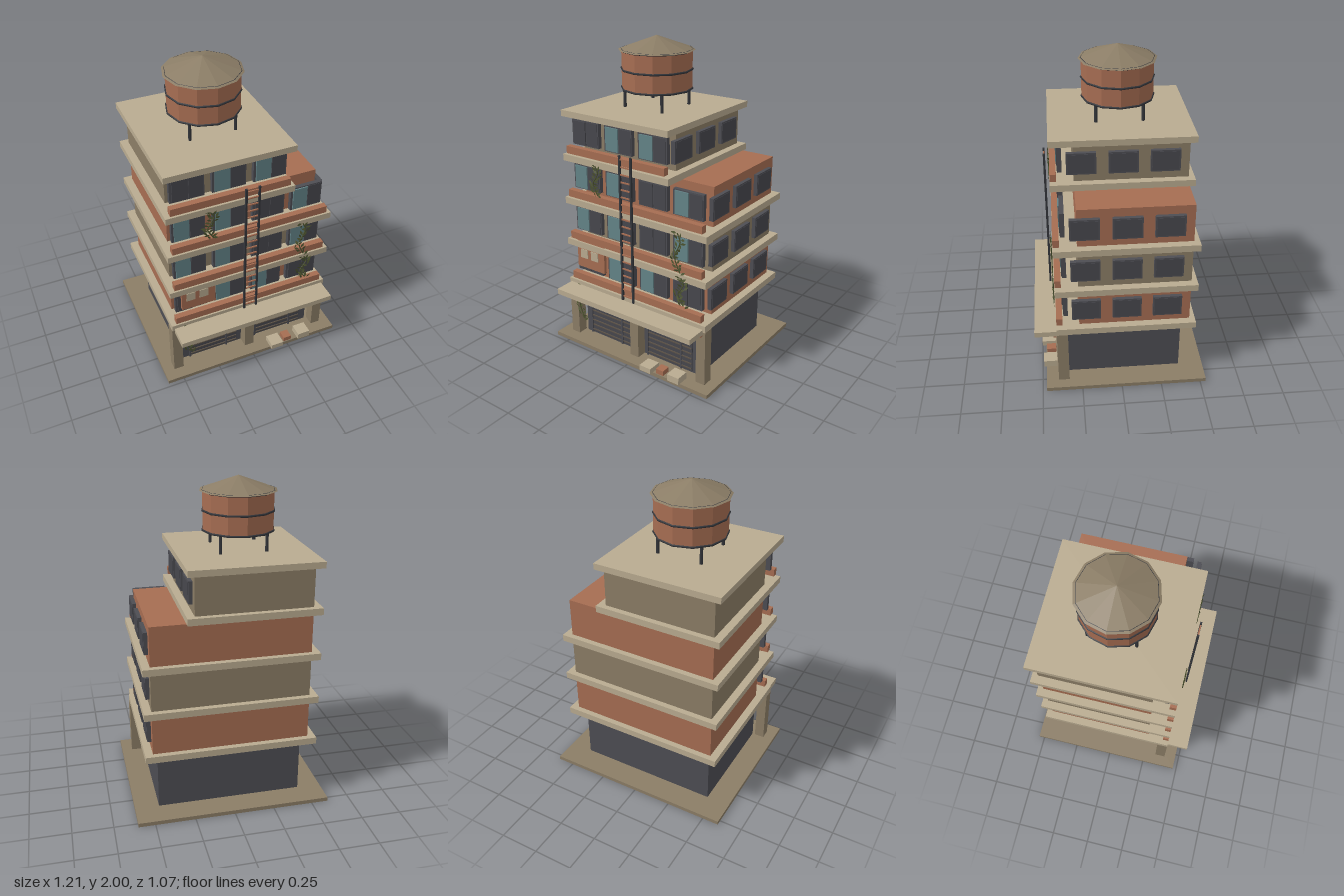
import * as THREE from 'three';

const mat = (name, color, side = THREE.FrontSide) => {
  const m = new THREE.MeshStandardMaterial({ color, side });
  m.name = name;
  return m;
};

export function createModel() {
  const model = new THREE.Group();
  model.name = 'apartmentBuilding';
  const concrete = mat('paleConcrete', 0xb9ab90);
  const stone = mat('darkStone', 0x8b7d66);
  const brick = mat('brick', 0xa66d52);
  const slate = mat('slate', 0x4d4d53);
  const pane = mat('darkPane', 0x47474d);
  const glass = mat('tealGlass', 0x648488);
  const iron = mat('iron', 0x34363b);
  const slat = mat('shutterSlat', 0x5d5348);
  const leaf = mat('leaf', 0x4d5430, THREE.DoubleSide);

  const add = (name, geo, material, parent = model) => {
    const m = new THREE.Mesh(geo, material);
    m.name = name;
    parent.add(m);
    return m;
  };
  // Box given by its extents along each axis
  const box = (name, material, x0, x1, y0, y1, z0, z1, parent = model) => {
    const m = add(name, new THREE.BoxGeometry(x1 - x0, y1 - y0, z1 - z0), material, parent);
    m.position.set((x0 + x1) / 2, (y0 + y1) / 2, (z0 + z1) / 2);
    return m;
  };
  const group = (name) => {
    const g = new THREE.Group();
    g.name = name;
    model.add(g);
    return g;
  };

  // Pavement, ground floor, columns and canopy
  box('pavement', stone, -0.605, 0.605, 0, 0.025, -0.535, 0.475);
  box('groundFloor', slate, -0.455, 0.455, 0.025, 0.386, -0.38, 0.33);
  for (const x of [-0.505, 0, 0.505])
    box('column', stone, x - 0.032, x + 0.032, 0.025, 0.388, 0.33, 0.398);
  box('canopy', concrete, -0.52, 0.52, 0.37, 0.405, 0.39, 0.535);
  box('canopyTrim', brick, -0.518, 0.518, 0.36, 0.371, 0.4, 0.42);

  // Roller shutters
  for (const s of [-1, 1]) {
    const g = group('shutter');
    const panel = box('shutterPanel', pane, -0.17, 0.17, 0.035, 0.32, 0.33, 0.336, g);
    panel.position.x = 0;
    for (let i = 0; i < 8; i++)
      box('shutterSlat', slat, -0.165, 0.165, 0.05 + i * 0.036, 0.057 + i * 0.036, 0.336, 0.342, g);
    for (const x of [-0.17, 0.09])
      box('shutterRail', slate, x - 0.006, x + 0.006, 0.03, 0.32, 0.336, 0.345, g);
    g.position.x = s * 0.235;
  }

  // Upper floors: slab, body, sill, front and side windows
  const PITCH = 0.286;
  const frontX = [-0.49, -0.235, 0.02, 0.272];
  const openPanes = [[1, 2], [0, 1, 3], [0, 1, 3], [1, 2]];
  for (let f = 0; f < 4; f++) {
    const y = 0.43 + f * PITCH;
    const top = f === 3;
    const g = group('floor' + (f + 1));
    const right = top ? 0.222 : 0.487;
    box('floorSlab', concrete, -0.535, top ? 0.27 : 0.535, y - 0.042, y, -0.462, 0.4, g);
    box('floorBody', f % 2 ? stone : brick, -0.487, right, y, y + PITCH - 0.041, -0.427, 0.257, g);
    box('sill', brick, -0.505, top ? 0.24 : 0.503, y + 0.01, y + 0.057, 0.36, 0.398, g);
    frontX.slice(0, top ? 3 : 4).forEach((x, i) => {
      box('frontWindow', slate, x, x + 0.208, y + 0.063, y + 0.222, 0.325, 0.352, g);
      const open = openPanes[f].includes(i);
      box('leftPane', open ? glass : pane, x + 0.014, x + 0.108, y + 0.07, y + 0.215, 0.352, 0.36, g);
      box('rightPane', pane, x + 0.114, x + 0.2, y + 0.07, y + 0.215, 0.352, 0.355, g);
    });
    for (const z of [-0.283, -0.036, 0.212]) {
      box('sideWindow', slate, right - 0.002, right + 0.024, y + 0.054, y + 0.191, z - 0.088, z + 0.088, g);
      box('sidePane', pane, right + 0.024, right + 0.026, y + 0.063, y + 0.182, z - 0.078, z + 0.078, g);
    }
  }
  box('roofSlab', concrete, -0.535, 0.267, 1.529, 1.568, -0.462, 0.4);

  // Plain sign board with pale blank plates
  box('signBoard', brick, -0.46, -0.237, 0.537, 0.72, 0.37, 0.39);
  for (const x of [-0.43, -0.345])
    box('signPlate', concrete, x, x + 0.058, 0.605, 0.665, 0.39, 0.395);

  // Ladder
  const ladder = group('ladder');
  for (const x of [-0.058, 0.024])
    box('ladderRail', iron, x - 0.006, x + 0.006, 0.43, 1.375, 0.422, 0.434, ladder);
  for (let i = 0; i < 20; i++)
    box('ladderRung', brick, -0.055, 0.021, 0.455 + i * 0.047, 0.463 + i * 0.047, 0.424, 0.432, ladder);

  // Water tank
  const tank = group('waterTank');
  tank.position.set(-0.127, 0, -0.032);
  const flat = (m) => {
    m.geometry = m.geometry.toNonIndexed();
    m.geometry.computeVertexNormals();
    return m;
  };
  flat(add('tankBarrel', new THREE.CylinderGeometry(0.218, 0.218, 0.24, 12), brick, tank)).position.y = 1.8;
  flat(add('tankRoof', new THREE.ConeGeometry(0.236, 0.085, 12), stone, tank)).position.y = 1.9575;
  for (const y of [1.682, 1.8, 1.915]) {
    const band = add('tankBand', new THREE.TorusGeometry(0.218, 0.007, 6, 12), iron, tank);
    band.rotation.set(-Math.PI / 2, 0, 0);
    band.position.y = y;
  }
  for (const x of [-0.141, 0.141]) for (const z of [-0.141, 0.141])
    add('tankLeg', new THREE.CylinderGeometry(0.01, 0.01, 0.125, 8), iron, tank).position.set(x, 1.625, z);

  // Boxes left on the pavement
  box('crate', concrete, 0.122, 0.205, 0.025, 0.06, 0.41, 0.5);
  box('smallCrate', brick, 0.226, 0.28, 0.025, 0.058, 0.41, 0.47);
  box('crate', concrete, 0.325, 0.41, 0.025, 0.07, 0.405, 0.49);

  // Hanging vines: a wavy stem with diamond leaves
  let seed = 7;
  const rnd = () => (seed = (seed * 16807) % 2147483647) / 2147483647;
  const leafGeo = new THREE.CircleGeometry(0.02, 4).scale(1, 0.42, 1);
  const vine = (x, y0, y1, z) => {
    const g = group('vine');
    const pts = [];
    for (let i = 0; i <= 5; i++)
      pts.push(new THREE.Vector3(x + Math.sin(i * 1.5) * 0.02, y0 + (y1 - y0) * i / 5, z));
    const curve = new THREE.CatmullRomCurve3(pts);
    add('vineStem', new THREE.TubeGeometry(curve, 14, 0.004, 5), leaf, g);
    for (let i = 0; i < 22; i++) {
      const m = add('vineLeaf', leafGeo, leaf, g);
      const side = i % 2 ? 1 : -1;
      m.position.copy(curve.getPoint(i / 21));
      m.position.x += side * (0.008 + rnd() * 0.018);
      m.rotation.set((rnd() - 0.5) * 0.8, (rnd() - 0.5) * 0.8, side * (rnd() * 1.6 - 0.2));
    }
  };
  vine(-0.27, 1.26, 1.07, 0.407);
  vine(0.34, 0.98, 0.73, 0.407);
  vine(0.365, 0.7, 0.52, 0.407);
  vine(-0.43, 0.4, 0.16, 0.405);

  return model;
}
